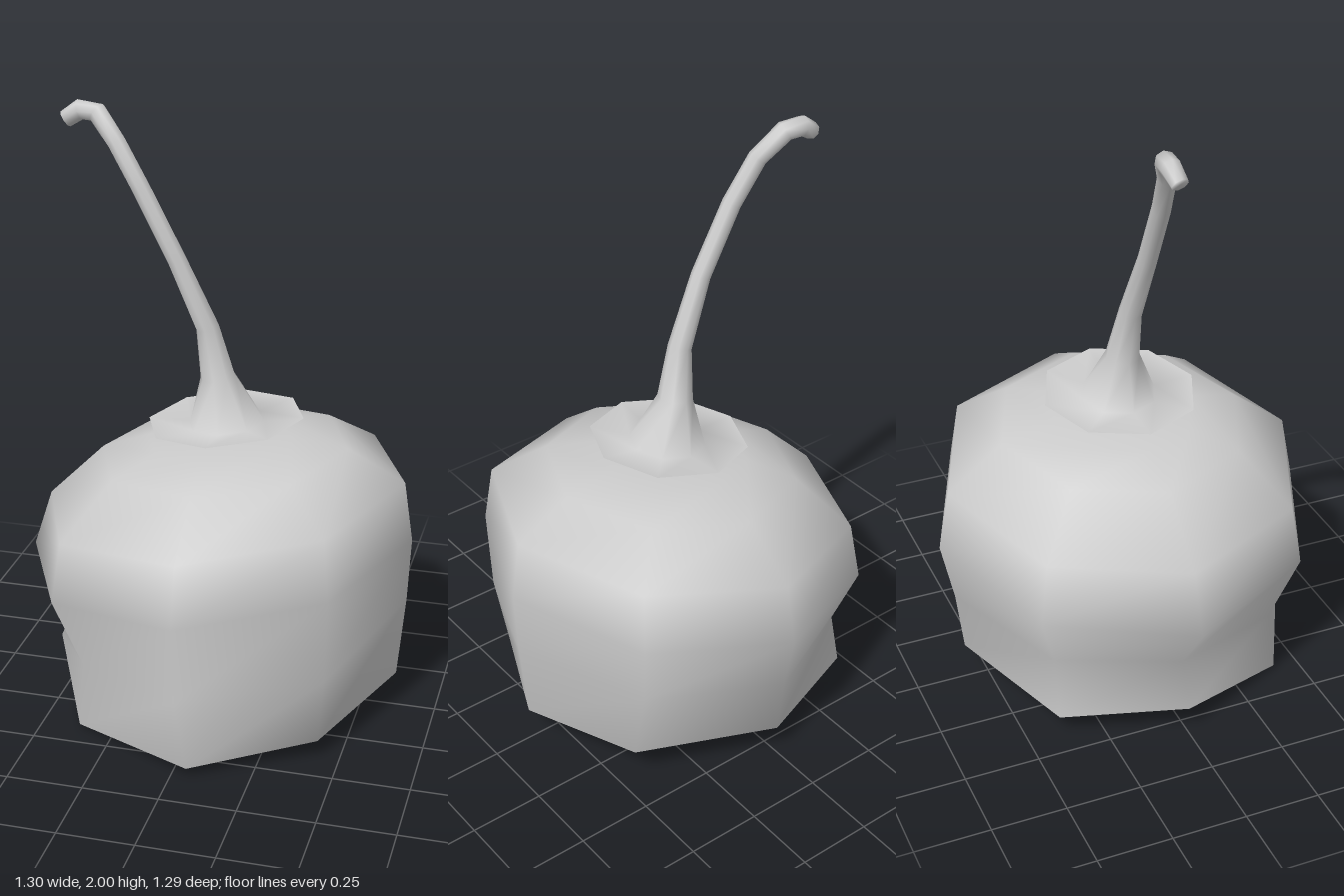
import * as THREE from 'three';

const SIDES = 8;
const grey = new THREE.MeshStandardMaterial({ color: 0xcccccc, side: THREE.DoubleSide });

// Smooth skin over a list of rings, with optional fan caps at either end.
// Quads before ring number turn are split along the other diagonal.
function loft(name, rings, capStart, capEnd, turn = 0) {
  const points = rings.flat();
  const index = [];
  for (let i = 0; i < rings.length - 1; i++) {
    for (let j = 0; j < SIDES; j++) {
      const k = (j + 1) % SIDES;
      const a = i * SIDES + j, b = i * SIDES + k, c = a + SIDES, d = b + SIDES;
      index.push(...(i < turn ? [a, c, d, a, d, b] : [a, c, b, b, c, d]));
    }
  }
  const cap = (ring, centre, flip) => {
    const n = points.push(centre) - 1;
    for (let j = 0; j < SIDES; j++) {
      const a = ring * SIDES + j, b = ring * SIDES + (j + 1) % SIDES;
      index.push(...(flip ? [a, b, n] : [b, a, n]));
    }
  };
  if (capStart) cap(0, capStart, true);
  if (capEnd) cap(rings.length - 1, capEnd, false);
  const geometry = new THREE.BufferGeometry().setFromPoints(points);
  geometry.setIndex(index);
  geometry.computeVertexNormals();
  const mesh = new THREE.Mesh(geometry, grey);
  mesh.name = name;
  return mesh;
}

// Regular ring leaning up towards +x
function tiltedRing(cx, radius, y, tilt) {
  return Array.from({ length: SIDES }, (_, j) => {
    const a = j * Math.PI * 2 / SIDES;
    return new THREE.Vector3(cx + radius * Math.cos(a), y + tilt * Math.cos(a), radius * Math.sin(a));
  });
}

// Hollow body, open below, with an uneven rim and a dented waist
function makeBody() {
  const v = p => new THREE.Vector3(...p);
  const rim = [
    [0.615, 0.12, 0], [0.43, 0.065, 0.4], [0.05, 0.03, 0.61], [-0.37, 0.01, 0.41],
    [-0.57, 0.10, 0], [-0.42, 0.075, -0.395], [0.01, 0.12, -0.575], [0.46, 0.13, -0.39],
  ].map(v);
  const waist = [
    [0.64, 0.4, 0], [0.455, 0.31, 0.445], [0.01, 0.26, 0.605], [-0.36, 0.22, 0.385],
    [-0.51, 0.25, 0], [-0.38, 0.28, -0.395], [0.01, 0.33, -0.6], [0.45, 0.38, -0.43],
  ].map(v);
  const belly = [
    [0.65, 0.62, 0], [0.463, 0.595, 0.455], [0.013, 0.535, 0.643], [-0.437, 0.475, 0.455],
    [-0.655, 0.45, 0], [-0.437, 0.475, -0.455], [0.013, 0.535, -0.643], [0.463, 0.595, -0.455],
  ].map(v);
  const outer = [
    rim, waist, belly,
    tiltedRing(0.015, 0.605, 0.735, 0.085),
    tiltedRing(0.015, 0.415, 0.88, 0.04),
    tiltedRing(0.0, 0.24, 0.922, 0.022),
  ];
  // Inner wall: the same rings, drawn in
  const inner = outer.map((ring, i) => ring.map(p => new THREE.Vector3(
    p.x * 0.935, p.y - (i > 2 ? 0.03 : 0) + (i ? 0 : Math.min(p.x, 0) * 0.03), p.z * 0.935))).reverse();
  return loft('body', [...inner, ...outer],
    new THREE.Vector3(0, 0.895, 0), new THREE.Vector3(0, 0.925, 0), inner.length - 1);
}

// Shallow cone under the stem
const dishRim = () => tiltedRing(0.022, 0.26, 0.985, 0.025);
function makeDish() {
  return loft('dish', [tiltedRing(0.015, 0.11, 0.93, 0.011), dishRim()], new THREE.Vector3(0.015, 0.93, 0));
}

// Curved stem flaring out over the top of the dish
function makeStem() {
  // x, y, z, radius
  const path = [
    [-0.005, 1.13, 0, 0.058], [-0.035, 1.3, 0.015, 0.039], [-0.13, 1.52, 0.03, 0.032],
    [-0.245, 1.74, 0.024, 0.031], [-0.33, 1.88, 0.004, 0.031], [-0.405, 1.963, -0.035, 0.033],
    [-0.465, 1.967, -0.045, 0.033], [-0.512, 1.935, -0.038, 0.028],
  ];
  const centres = path.map(p => new THREE.Vector3(p[0], p[1], p[2]));
  const rings = [dishRim(), tiltedRing(0.027, 0.125, 0.974, 0.013)];
  centres.forEach((c, i) => {
    const before = i ? centres[i - 1] : new THREE.Vector3(0.02, 0.95, 0);
    const t = (centres[i + 1] || c).clone().sub(before).normalize();
    const w = new THREE.Vector3(0, 0, 1).addScaledVector(t, -t.z).normalize();
    const u = t.clone().cross(w).negate();
    u.copy(w).cross(t).negate();
    rings.push(Array.from({ length: SIDES }, (_, j) => {
      const a = j * Math.PI * 2 / SIDES;
      return c.clone().addScaledVector(u, path[i][3] * Math.cos(a))
        .addScaledVector(w, path[i][3] * Math.sin(a));
    }));
  });
  return loft('stem', rings, null, centres.at(-1).clone());
}

export function createModel() {
  const group = new THREE.Group();
  group.name = 'stemmedCap';
  group.add(makeBody(), makeDish(), makeStem());
  return group;
}
